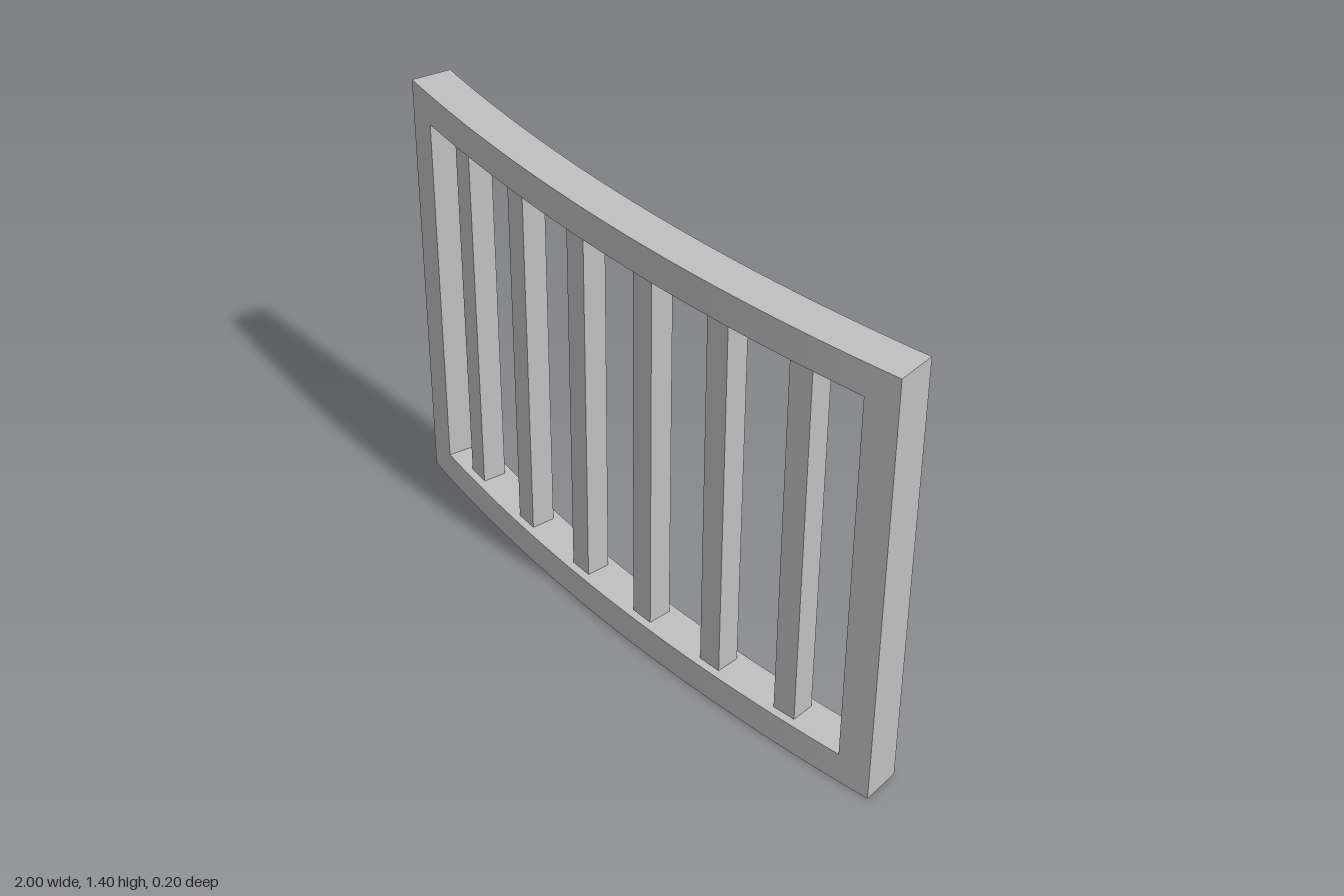
import * as THREE from 'three';

const R_OUT = 6.2, R_IN = 6.075, CENTER_Z = 0.1 - R_OUT; // bend of the panel
const HEIGHT = 1.4, BORDER = 0.1;
const END = 0.162, OPENING = 0.145; // half angles of the frame and its opening

// Upright block whose plan is a slice of a ring; angles are measured from +z towards +x
function arcBlock(a0, a1, y0, y1, segments) {
  const plan = new THREE.Shape();
  plan.absarc(0, CENTER_Z, R_OUT, Math.PI / 2 - a1, Math.PI / 2 - a0, false);
  plan.absarc(0, CENTER_Z, R_IN, Math.PI / 2 - a0, Math.PI / 2 - a1, true);
  plan.closePath();
  return new THREE.ExtrudeGeometry(plan, { depth: y1 - y0, bevelEnabled: false, curveSegments: segments })
    .rotateX(Math.PI / 2)
    .translate(0, y1, 0);
}

export function createModel() {
  const model = new THREE.Group();
  model.name = 'curvedRailing';
  const grey = new THREE.MeshStandardMaterial({ color: 0xc0c0c0 });
  grey.name = 'grey';

  const add = (name, geometry) => {
    const mesh = new THREE.Mesh(geometry, grey);
    mesh.name = name;
    model.add(mesh);
    return mesh;
  };

  // Curved frame
  add('bottomRail', arcBlock(-END, END, 0, BORDER, 32));
  add('topRail', arcBlock(-END, END, HEIGHT - BORDER, HEIGHT, 32));
  add('rightStile', arcBlock(-END, -OPENING, BORDER, HEIGHT - BORDER, 2));
  add('leftStile', arcBlock(OPENING, END, BORDER, HEIGHT - BORDER, 2));

  // Square bars, each turned to follow the bend
  const barGeometry = new THREE.BoxGeometry(0.075, HEIGHT - 2 * BORDER, 0.075);
  const rMid = (R_OUT + R_IN) / 2;
  for (let i = 0; i < 6; i++) {
    const a = -0.1218 + i * 0.0464;
    const bar = add(`bar${i + 1}`, barGeometry);
    bar.position.set(rMid * Math.sin(a), HEIGHT / 2, CENTER_Z + rMid * Math.cos(a));
    bar.rotation.y = a;
  }
  return model;
}
